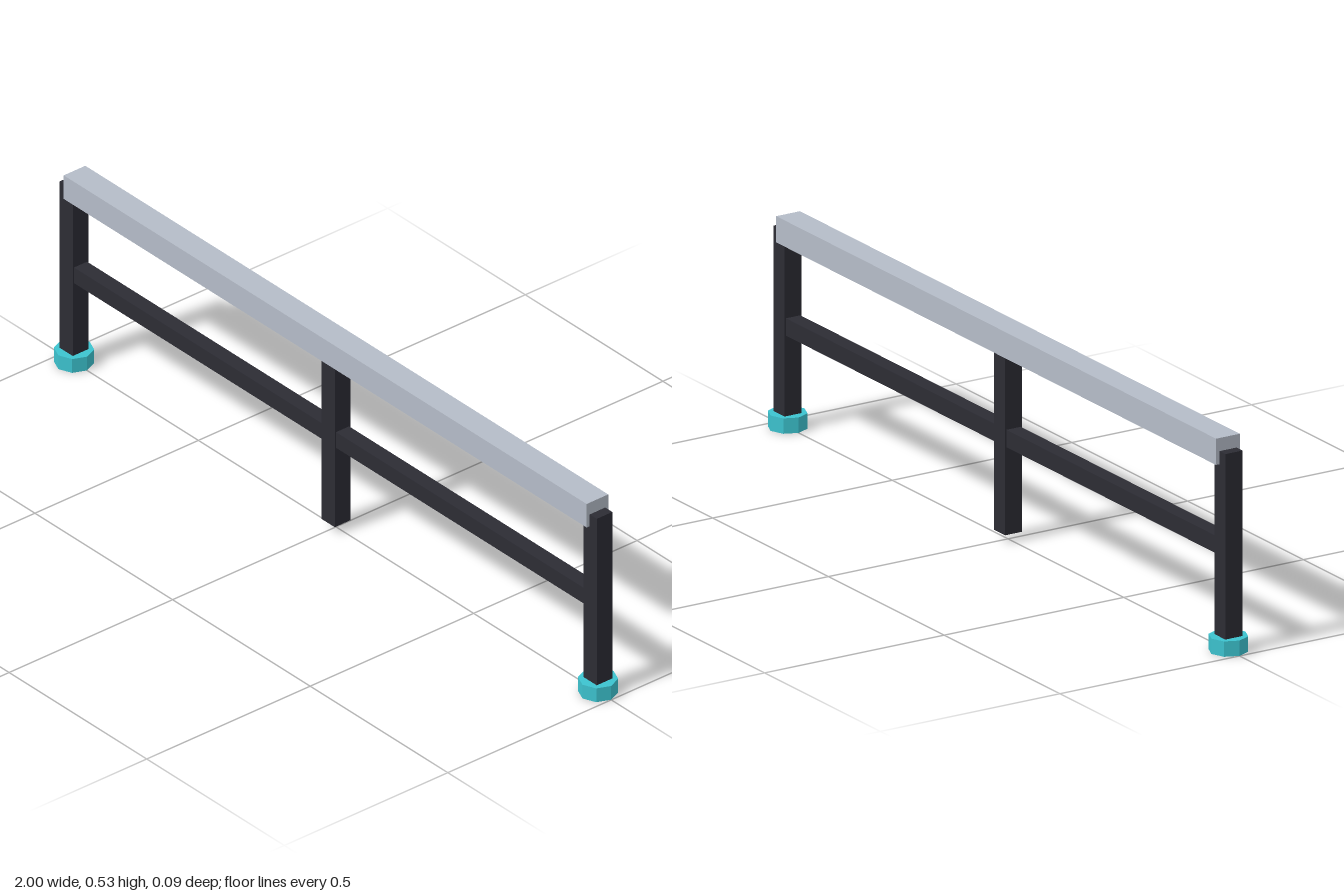
import * as THREE from 'three';

export function createModel() {
  const group = new THREE.Group();
  const make = (name, color) => {
    const m = new THREE.MeshStandardMaterial({ color });
    m.name = name;
    return m;
  };
  const grey = make('pale grey', 0xb5bcc8);
  const dark = make('charcoal', 0x2c2c34);
  const teal = make('teal', 0x3cc3cf);
  teal.flatShading = true;

  const add = (name, geometry, material, x, y) => {
    const mesh = new THREE.Mesh(geometry, material);
    mesh.name = name;
    mesh.position.set(x, y, 0);
    group.add(mesh);
  };

  // Long top beam
  add('topBeam', new THREE.BoxGeometry(1.9, 0.065, 0.066), grey, 0, 0.497);

  // Horizontal brace at mid height
  add('crossBar', new THREE.BoxGeometry(1.9, 0.043, 0.04), dark, 0, 0.259);

  // Three square posts; the middle one ends just above the ground
  const post = new THREE.BoxGeometry(0.0475, 0.477, 0.0475);
  add('rightPost', post, dark, -0.952, 0.2585);
  add('middlePost', post, dark, 0, 0.2585);
  add('leftPost', post, dark, 0.952, 0.2585);

  // Octagonal feet under the end posts
  const foot = new THREE.CylinderGeometry(0.0475, 0.0475, 0.038, 8);
  add('rightFoot', foot, teal, -0.952, 0.019);
  add('leftFoot', foot, teal, 0.952, 0.019);

  return group;
}
